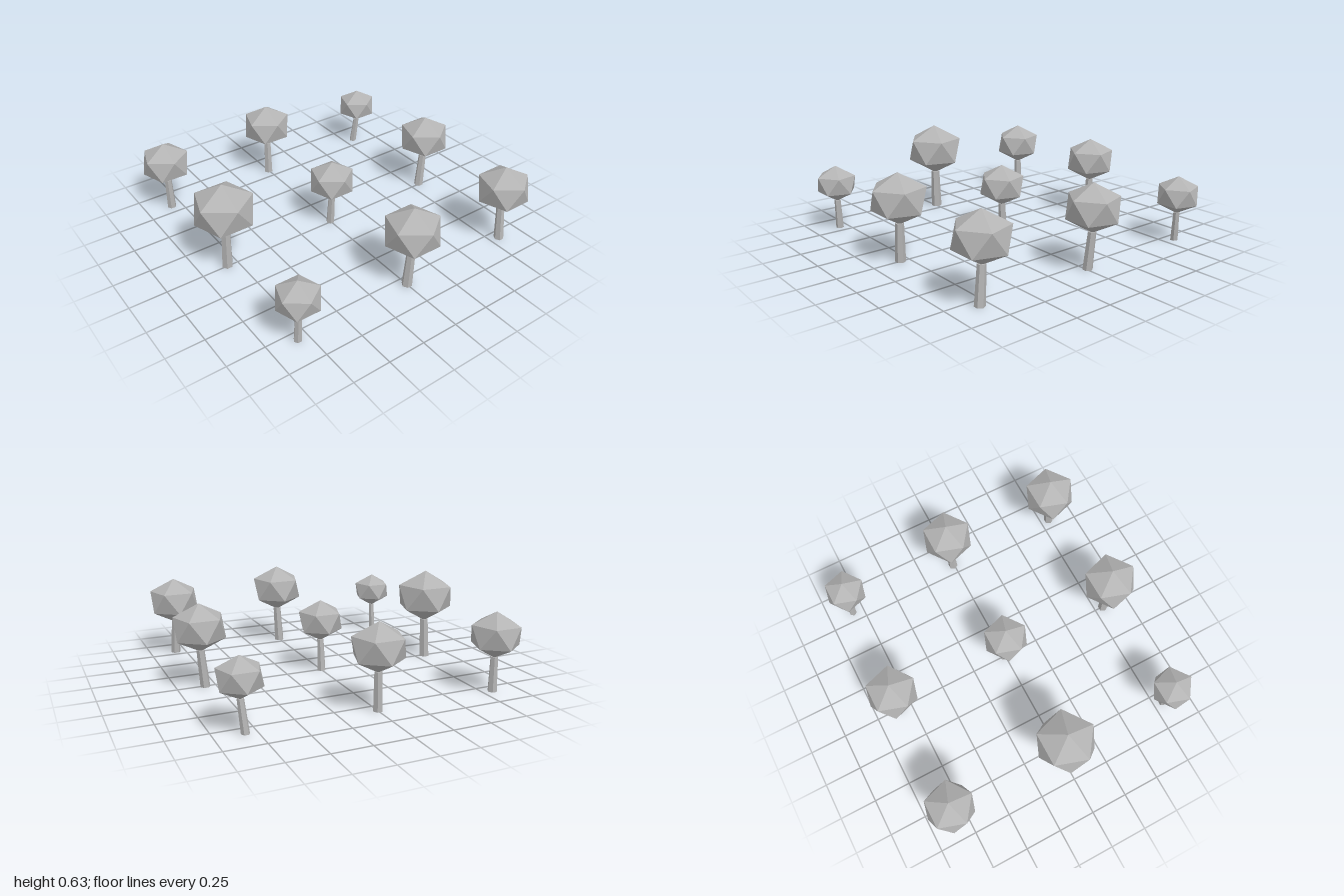
import * as THREE from 'three';

const SPACING = 0.82;   // distance between planting spots
const SQUASH = 0.85;    // crowns are slightly flattened

// One tree per planting spot: [column, row, crown x, crown z, crown ring radius, top height]
const TREES = [
  [-1, -1, -0.811, -0.838, 0.133, 0.45],
  [0, -1, -0.013, -0.843, 0.165, 0.555],
  [1, -1, 0.793, -0.816, 0.168, 0.555],
  [-1, 0, -0.832, -0.005, 0.163, 0.55],
  [0, 0, 0.005, -0.003, 0.146, 0.49],
  [1, 0, 0.816, -0.013, 0.174, 0.58],
  [-1, 1, -0.825, 0.822, 0.157, 0.52],
  [0, 1, 0.0, 0.814, 0.19, 0.628],
  [1, 1, 0.82, 0.815, 0.132, 0.45],
];

// Icosahedron with one corner pointing straight up
function crownGeometry(ringRadius) {
  const geometry = new THREE.IcosahedronGeometry(ringRadius / 0.8944, 0);
  geometry.rotateZ(-Math.atan(2 / (1 + Math.sqrt(5))));
  geometry.scale(1, SQUASH, 1);
  return geometry;
}

// Six-sided tapered trunk, sheared so that its top meets the crown
function trunkGeometry(ringRadius, height, leanX, leanZ) {
  const geometry = new THREE.CylinderGeometry(ringRadius * 0.16, ringRadius * 0.197, height, 6);
  geometry.translate(0, height / 2, 0);
  const p = geometry.attributes.position;
  for (let i = 0; i < p.count; i++) {
    const t = p.getY(i) / height;
    p.setX(i, p.getX(i) + leanX * t);
    p.setZ(i, p.getZ(i) + leanZ * t);
  }
  const flat = geometry.toNonIndexed();
  flat.computeVertexNormals();
  return flat;
}

export function createModel() {
  const grey = new THREE.MeshStandardMaterial({ color: 0xb4b4b4, flatShading: true });
  grey.name = 'grey';

  const grove = new THREE.Group();
  grove.name = 'grove';

  for (const [column, row, crownX, crownZ, radius, top] of TREES) {
    const baseX = column * SPACING - 0.008;
    const baseZ = row * SPACING;
    const halfHeight = (radius / 0.8944) * SQUASH;

    const tree = new THREE.Group();
    tree.name = 'tree';
    tree.position.set(baseX, 0, baseZ);

    const trunkHeight = top - 2 * halfHeight + radius * 0.05;
    const trunk = new THREE.Mesh(
      trunkGeometry(radius, trunkHeight, crownX - baseX, crownZ - baseZ), grey);
    trunk.name = 'trunk';

    const crown = new THREE.Mesh(crownGeometry(radius), grey);
    crown.name = 'crown';
    crown.position.set(crownX - baseX, top - halfHeight, crownZ - baseZ);

    tree.add(trunk, crown);
    grove.add(tree);
  }
  return grove;
}
